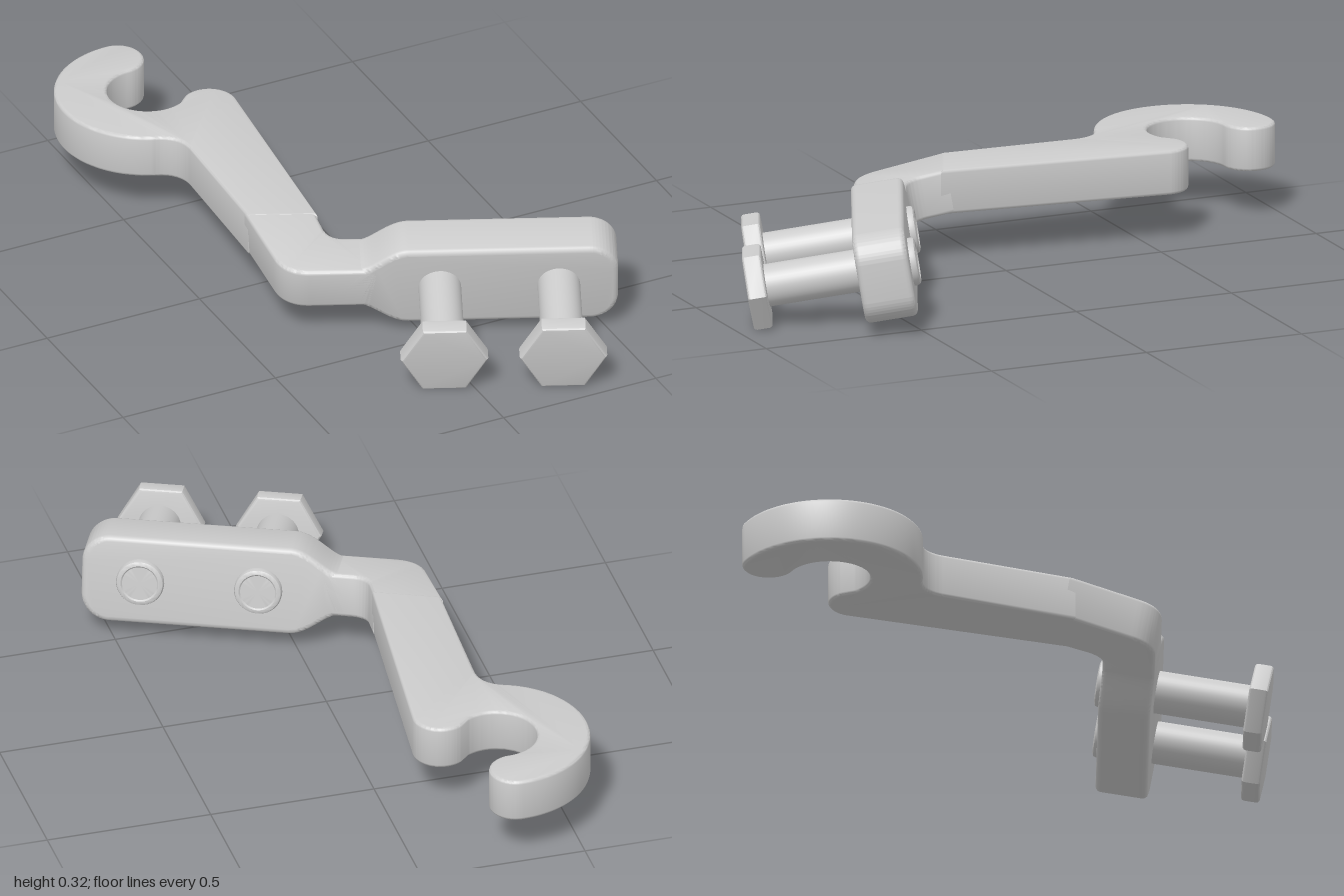
import * as THREE from 'three';
import { toCreasedNormals } from 'three/addons/utils/BufferGeometryUtils.js';

const material = new THREE.MeshStandardMaterial({ color: 0xcccccc });
const rad = THREE.MathUtils.degToRad;

function part(name, geometry) {
  const mesh = new THREE.Mesh(geometry, material);
  mesh.name = name;
  return mesh;
}

// Extrudes a shape, centred on its thickness, with rounded rims inside the outline
function slab(shape, thickness, bevel, crease = 0.6, bevelSegments = 3) {
  const depth = thickness - 2 * bevel;
  const g = new THREE.ExtrudeGeometry(shape, {
    depth, curveSegments: 28, bevelEnabled: true,
    bevelThickness: bevel, bevelSize: bevel, bevelOffset: -bevel, bevelSegments,
  });
  g.translate(0, 0, -depth / 2);
  return toCreasedNormals(g, crease);
}

// Flat arm with an open hook at its back end, drawn in x and z
function hookArm() {
  const s = new THREE.Shape();
  s.moveTo(-0.364, 0.046);
  s.lineTo(-0.345, -0.37);
  s.quadraticCurveTo(-0.343, -0.445, -0.41, -0.469);
  s.absarc(-0.31, -0.725, 0.275, rad(111.4), rad(270), false);
  s.absarc(-0.31, -0.922, 0.078, rad(270), rad(450), false);
  s.absarc(-0.31, -0.725, 0.119, rad(270), rad(62), true);
  s.absarc(-0.18, -0.578, 0.083, rad(237), rad(365), false);
  s.lineTo(-0.177, 0.129);
  return part('hookArm', slab(s, 0.135, 0.01).rotateX(Math.PI / 2).translate(0, 0.2125, 0));
}

// Bent neck between the arm and the clamp plate
function elbow() {
  const s = new THREE.Shape();
  s.moveTo(-0.323, -0.2);
  s.lineTo(-0.245, 0.005);
  s.quadraticCurveTo(-0.218, 0.078, -0.14, 0.078);
  s.lineTo(0.05, 0.078);
  s.lineTo(0.05, -0.078);
  s.lineTo(-0.03, -0.078);
  s.quadraticCurveTo(-0.078, -0.078, -0.094, -0.122);
  s.lineTo(-0.118, -0.2);
  return part('elbow', slab(s, 0.134, 0.012).rotateX(Math.PI / 2));
}

// Upright plate that flares out from the neck
function plate() {
  const s = new THREE.Shape();
  const n = 0.066, h = 0.136, end = 0.765, r = 0.085;
  s.moveTo(-0.1, -n);
  s.lineTo(0, -n);
  s.bezierCurveTo(0.04, -n, 0.09, -h, 0.15, -h);
  s.lineTo(end - r, -h);
  s.absarc(end - r, -h + r, r, -Math.PI / 2, 0, false);
  s.absarc(end - r, h - r, r, 0, Math.PI / 2, false);
  s.lineTo(0.15, h);
  s.bezierCurveTo(0.09, h, 0.04, n, 0, n);
  s.lineTo(-0.1, n);
  return part('plate', slab(s, 0.156, 0.016));
}

// Hex bolt through the plate, with its end showing at the back
function bolt(x) {
  const g = new THREE.Group();
  g.name = 'bolt';
  g.position.x = x;
  g.add(part('boltShaft', new THREE.CylinderGeometry(0.063, 0.063, 0.3, 40)
    .rotateX(Math.PI / 2).translate(0, 0, 0.21)));

  const corners = Array.from({ length: 6 }, (_, i) =>
    new THREE.Vector2(0.129 * Math.cos(i * Math.PI / 3), 0.129 * Math.sin(i * Math.PI / 3)));
  g.add(part('boltHead', slab(new THREE.Shape(corners), 0.057, 0.01, 0.5).translate(0, 0, 0.38)));

  const profile = [[0.071, -0.01], [0.071, 0.01], [0.068, 0.017], [0.061, 0.021],
    [0.056, 0.021], [0.052, 0.017], [0, 0.017]].map(p => new THREE.Vector2(...p));
  const end = new THREE.LatheGeometry(profile, 40).rotateX(-Math.PI / 2).translate(0, 0, -0.078);
  g.add(part('boltEnd', toCreasedNormals(end, 0.6)));
  return g;
}

export function createModel() {
  const model = new THREE.Group();
  model.name = 'hookBracket';
  model.add(hookArm());

  // The clamp end is turned sideways and tipped slightly down
  const clamp = new THREE.Group();
  clamp.name = 'clampEnd';
  clamp.position.set(-0.1465, 0.181, 0.329);
  clamp.rotation.set(rad(9.5), rad(-24), 0, 'YXZ');
  clamp.add(elbow(), plate(), bolt(0.24), bolt(0.59));
  model.add(clamp);
  return model;
}
